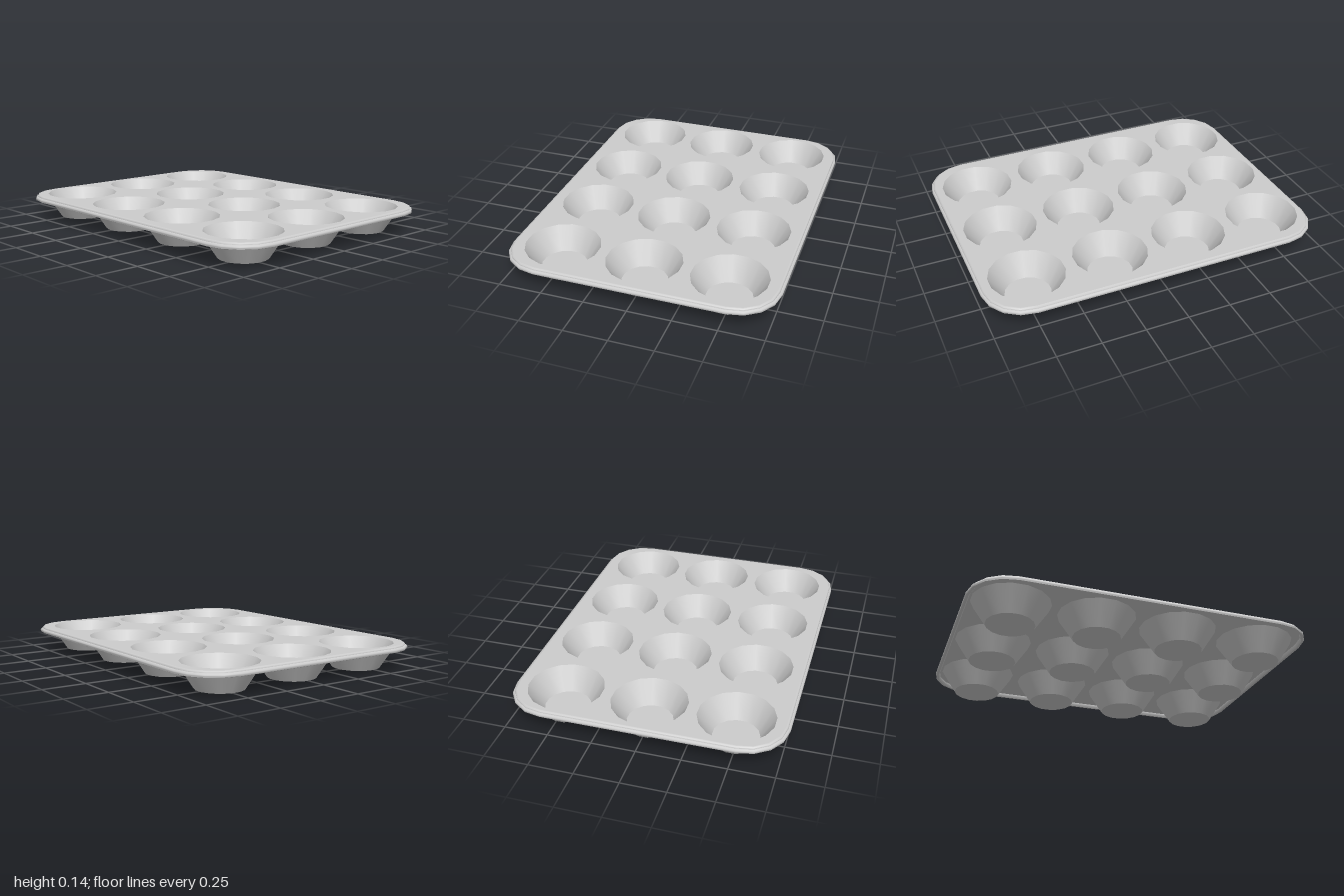
import * as THREE from 'three';
import { mergeGeometries, toCreasedNormals } from 'three/addons/utils/BufferGeometryUtils.js';

const SIDES = 16, CORNER_STEPS = 4;
const HALF_X = 0.777, HALF_Z = 1, CORNER = 0.24;
const TOP = 0.145, UNDER = 0.133, FLOOR = 0.015;
const R_INNER = 0.214, R_OUTER = 0.223;

// Centres of the 3 x 4 grid of cups
const cupCentres = [];
for (let row = 0; row < 4; row++) {
  for (let col = -1; col <= 1; col++) cupCentres.push([col * 0.484, (row - 1.5) * 0.489 - 0.008]);
}

// Rounded rectangle, counter-clockwise, drawn inward by inset
function outline(inset) {
  const points = [];
  const cx = HALF_X - CORNER, cy = HALF_Z - CORNER, r = CORNER - inset;
  [[1, 1], [-1, 1], [-1, -1], [1, -1]].forEach(([sx, sy], q) => {
    for (let k = 0; k <= CORNER_STEPS; k++) {
      const a = (q + k / CORNER_STEPS) * Math.PI / 2;
      points.push(new THREE.Vector2(sx * cx + r * Math.cos(a), sy * cy + r * Math.sin(a)));
    }
  });
  return points;
}

// Flat sheet pierced by the cup openings
function sheet(y, radius, facingUp) {
  const shape = new THREE.Shape(outline(0.025));
  for (const [x, z] of cupCentres) {
    const hole = [];
    for (let i = 0; i < SIDES; i++) {
      const a = -(i + 0.5) / SIDES * Math.PI * 2;
      hole.push(new THREE.Vector2(x + radius * Math.cos(a), (facingUp ? -z : z) + radius * Math.sin(a)));
    }
    shape.holes.push(new THREE.Path(hole));
  }
  return new THREE.ShapeGeometry(shape)
    .rotateX(facingUp ? -Math.PI / 2 : Math.PI / 2)
    .translate(0, y, 0);
}

// Closed cross-section swept round the edge: [inset, height]
function rimGeometry() {
  const section = [
    [0.025, TOP], [0.018, 0.144], [0.014, 0.14], [0.013, 0.134], [0.006, 0.132],
    [0.001, 0.126], [0, 0.12], [0.003, 0.113], [0.01, 0.11], [0.018, 0.111],
    [0.023, 0.117], [0.025, UNDER],
  ];
  const n = section.length, m = (CORNER_STEPS + 1) * 4;
  const positions = [], index = [];
  for (const [inset, y] of section) {
    for (const p of outline(inset)) positions.push(p.x, y, -p.y);
  }
  for (let j = 0; j < n; j++) {
    for (let i = 0; i < m; i++) {
      const j2 = (j + 1) % n, i2 = (i + 1) % m;
      const a = j * m + i, b = j2 * m + i, c = j * m + i2, d = j2 * m + i2;
      index.push(a, b, c, c, b, d);
    }
  }
  const geometry = new THREE.BufferGeometry();
  geometry.setAttribute('position', new THREE.Float32BufferAttribute(positions, 3));
  geometry.setIndex(index);
  return toCreasedNormals(geometry, 0.75);
}

// Tapered cup: separate lathes keep the edge between wall and floor sharp
function cupGeometry() {
  const profiles = [
    [[0, 0], [0.137, 0]],
    [[0.137, 0], [R_OUTER, UNDER]],
    [[R_INNER, TOP], [0.13, FLOOR]],
    [[0.13, FLOOR], [0, FLOOR]],
  ];
  return mergeGeometries(profiles.map((profile) => new THREE.LatheGeometry(
    profile.map(([r, y]) => new THREE.Vector2(r, y)), SIDES, Math.PI / SIDES)));
}

export function createModel() {
  const tin = new THREE.Group();
  tin.name = 'muffinTin';
  const metal = new THREE.MeshStandardMaterial({ color: 0xcccccc });
  const add = (name, geometry, parent = tin) => {
    const mesh = new THREE.Mesh(geometry, metal);
    mesh.name = name;
    parent.add(mesh);
    return mesh;
  };

  add('topSheet', sheet(TOP, R_INNER, true));
  add('undersideSheet', sheet(UNDER, R_OUTER, false));
  add('rolledRim', rimGeometry());

  const cups = new THREE.Group();
  cups.name = 'cups';
  tin.add(cups);
  const cup = cupGeometry();
  cupCentres.forEach(([x, z], i) => add(`cup${i + 1}`, cup, cups).position.set(x, 0, z));
  return tin;
}
